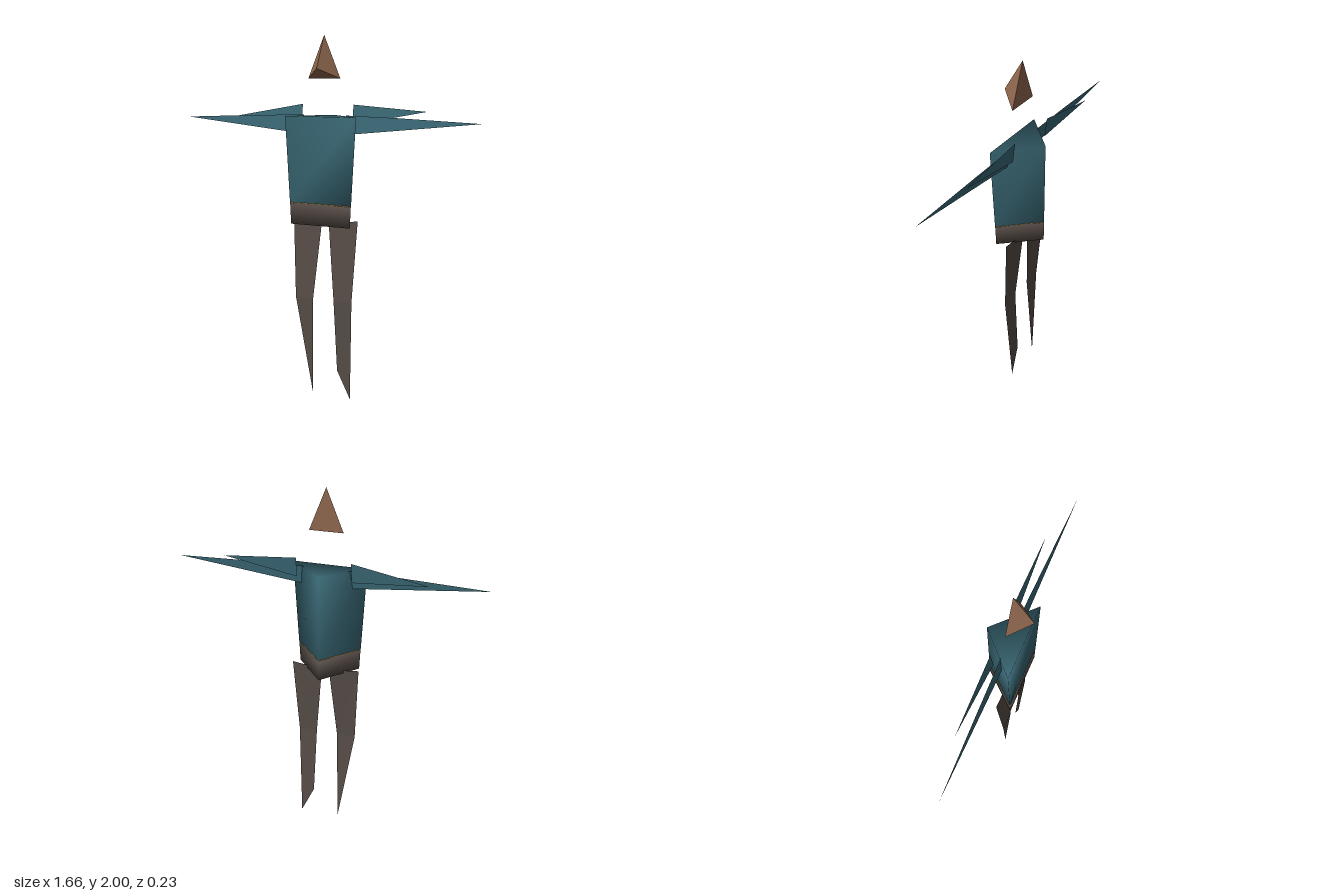
import * as THREE from 'three';

const material = (name, color, double) => {
  const m = new THREE.MeshStandardMaterial({ color });
  m.name = name;
  if (double) m.side = THREE.DoubleSide;
  return m;
};

// Builds a geometry from corner points and triangles
function faces(points, index, flat) {
  let g = new THREE.BufferGeometry();
  g.setAttribute('position', new THREE.Float32BufferAttribute(points.flat(), 3));
  g.setIndex(index);
  if (flat) g = g.toNonIndexed();
  g.computeVertexNormals();
  return g;
}

// Triangular prism with its ridge at the back, tapering from top to bottom
function prism(y0, w0, y1, w1) {
  const ring = (y, w) => [[-w, y, 0.075], [w, y, 0.075], [0, y, -0.117]];
  const index = [3, 4, 5, 0, 2, 1];
  for (let i = 0; i < 3; i++) {
    const j = (i + 1) % 3;
    index.push(i, j, j + 3, i, j + 3, i + 3);
  }
  return faces([...ring(y0, w0), ...ring(y1, w1)], index);
}

// Thin sheet fanned out from its first corner
function sheet(points) {
  const index = [];
  for (let i = 1; i < points.length - 1; i++) index.push(0, i, i + 1);
  return faces(points, index, true);
}

export function createModel() {
  const group = new THREE.Group();
  const teal = material('teal cloth', 0x3a6976, true);
  const brown = material('brown cloth', 0x574d47, true);
  const skin = material('skin', 0x8f674e);
  const gold = material('gold trim', 0xd8a352);
  const add = (name, geometry, mat) => {
    const mesh = new THREE.Mesh(geometry, mat);
    mesh.name = name;
    group.add(mesh);
  };

  // Head: a wedge with a flat back and a forward point
  add('head', faces(
    [[0, 2, 0.015], [-0.09, 1.78, 0.015], [0.09, 1.78, 0.015], [0, 1.83, 0.118]],
    [0, 1, 3, 0, 3, 2, 0, 2, 1, 1, 2, 3], true), skin);

  // Body
  add('torso', prism(1.124, 0.176, 1.585, 0.2), teal);
  add('beltTrim', prism(1.12, 0.175, 1.124, 0.175), gold);
  add('hips', prism(1.005, 0.17, 1.12, 0.175), brown);

  // Arms and shoulder flaps, mirrored apart from the flap tip
  for (const [side, s, tipY] of [['left', 1, 1.615], ['right', -1, 1.575]]) {
    add(side + 'Arm', sheet([
      [s * 0.83, 1.565, 0.018], [s * 0.4, 1.583, 0.01],
      [s * 0.12, 1.59, 0.005], [s * 0.12, 1.49, 0.018]]), teal);
    add(side + 'ShoulderFlap', sheet([
      [s * 0.145, 1.645, -0.035], [s * 0.54, tipY, -0.038],
      [s * 0.145, 1.54, -0.022]]), teal);
  }

  // Legs: thigh and shin sheets that bend at the knee
  for (const [side, s] of [['left', 1], ['right', -1]]) {
    const outer = [s * 0.166, 0.58, 0.03];
    const inner = [s * 0.061, 0.58, 0.03];
    add(side + 'Thigh', sheet([[s * 0.187, 1.03, 0], [s * 0.02, 1.01, 0], inner, outer]), brown);
    const foot = s > 0
      ? [[0.075, 0.165, 0.008], [0.15, 0, 0]]
      : [[-0.078, 0.01, 0]];
    add(side + 'Shin', sheet([outer, inner, ...foot]), brown);
  }
  return group;
}
